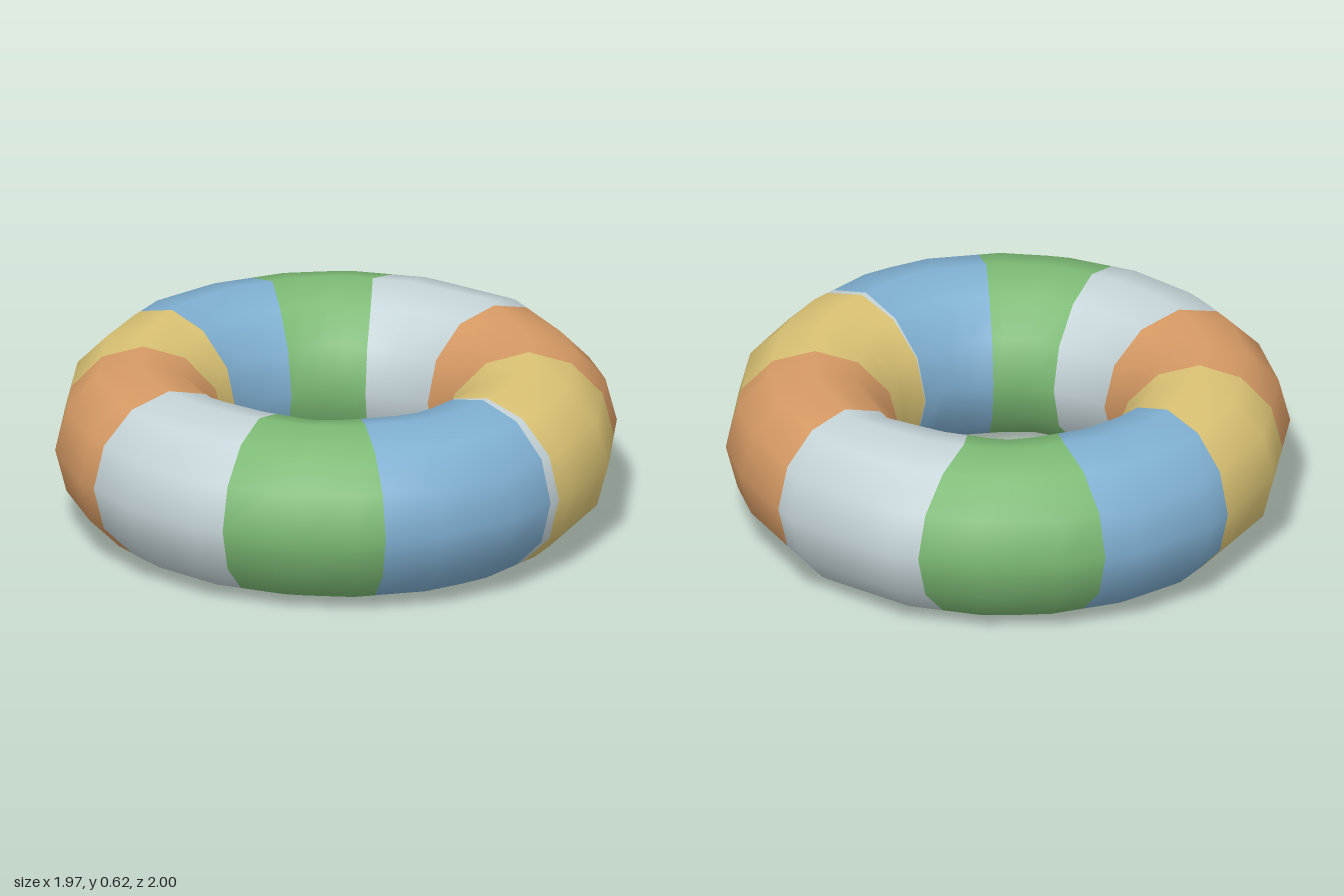
import * as THREE from 'three';

const SIDES = 12, MID_Y = 0.314, HALF_HEIGHT = 0.312;

// Plan outlines of the ring, [x, z], running from +x towards +z
const OUTER = [[0.95, 0.28], [0.82, 0.55], [0.62, 0.78], [0.37, 0.93], [0.07, 0.995], [-0.22, 0.96],
  [-0.5, 0.86], [-0.73, 0.67], [-0.9, 0.43], [-0.985, 0.14], [-0.945, -0.3], [-0.74, -0.68],
  [-0.5, -0.87], [-0.22, -0.98], [0.07, -1], [0.37, -0.935], [0.73, -0.68], [0.92, -0.35], [0.98, -0.14]];
const INNER = [[0.35, 0.17], [0.2, 0.33], [-0.05, 0.375], [-0.32, 0.23], [-0.4, 0.07], [-0.38, -0.08],
  [-0.35, -0.22], [-0.22, -0.33], [-0.02, -0.41], [0.19, -0.35], [0.31, -0.31], [0.385, -0.08]];

const angleOf = ([x, z]) => (THREE.MathUtils.radToDeg(Math.atan2(z, x)) + 360) % 360;
const BREAKS = [...OUTER, ...INNER].map(angleOf).sort((a, b) => a - b);

// Distance from the centre to a plan outline in direction t (radians)
function radiusAt(outline, t) {
  const dx = Math.cos(t), dz = Math.sin(t);
  for (let i = 0; i < outline.length; i++) {
    const [ax, az] = outline[i], [bx, bz] = outline[(i + 1) % outline.length];
    const sa = dx * az - dz * ax, sb = dx * bz - dz * bx;
    if (sa <= 1e-9 && sb > 1e-9) {
      const k = sa / (sa - sb);
      const r = dx * (ax + (bx - ax) * k) + dz * (az + (bz - az) * k);
      if (r > 0) return r;
    }
  }
  return 0.7;
}

// Seam angle around the tube, from its values at the outside, crown and inside
function seamAngle([outside, crown, inside], v) {
  const c = Math.cos(v);
  return crown + (c > 0 ? outside - crown : inside - crown) * Math.abs(c);
}

// One coloured length of tube between two seams
function segmentGeometry(start, end) {
  const lo = Math.min(...start), hi = Math.max(...end);
  const rings = [lo, ...BREAKS.filter((a) => a > lo && a < hi), hi];
  const positions = [], normals = [], index = [];
  rings.forEach((ring, i) => {
    for (let j = 0; j <= SIDES; j++) {
      const v = (j / SIDES) * Math.PI * 2, c = Math.cos(v), s = Math.sin(v);
      const from = seamAngle(start, v), to = seamAngle(end, v);
      const deg = i === 0 ? from : i === rings.length - 1 ? to : Math.min(Math.max(ring, from), to);
      const t = THREE.MathUtils.degToRad(deg);
      const outer = radiusAt(OUTER, t), inner = radiusAt(INNER, t);
      const half = (outer - inner) / 2, r = (outer + inner) / 2 + half * c;
      positions.push(r * Math.cos(t), MID_Y + HALF_HEIGHT * s, r * Math.sin(t));
      const n = new THREE.Vector3(Math.cos(t) * c / half, s / HALF_HEIGHT, Math.sin(t) * c / half).normalize();
      normals.push(n.x, n.y, n.z);
      if (i > 0 && j < SIDES) {
        const d = i * (SIDES + 1) + j, a = d - SIDES - 1;
        index.push(a, a + 1, d, a + 1, d + 1, d);
      }
    }
  });
  const geometry = new THREE.BufferGeometry();
  geometry.setAttribute('position', new THREE.Float32BufferAttribute(positions, 3));
  geometry.setAttribute('normal', new THREE.Float32BufferAttribute(normals, 3));
  geometry.setIndex(index);
  return geometry;
}

export function createModel() {
  const material = (name, color) => {
    const m = new THREE.MeshStandardMaterial({ color });
    m.name = name;
    return m;
  };
  const yellow = material('yellow', 0xdcc475), blue = material('blue', 0x7fafd1),
    green = material('green', 0x7bb973), white = material('pale grey', 0xc5d4d8),
    orange = material('orange', 0xd79b65);

  // Each segment's colour and the seam where it ends: outside, crown, inside (degrees)
  const segments = [
    [yellow, [37.6, 39, 37.5]],
    [white, [40.2, 40.8, 38]], // thin joint strip
    [blue, [80, 81.5, 80]],
    [green, [114, 114, 115]],
    [white, [149.5, 148.5, 148]],
    [orange, [184, 184.5, 186]],
    [yellow, [216, 214, 211]],
    [blue, [247.5, 251, 246]],
    [green, [286, 280.5, 285]],
    [white, [322.5, 322, 318]],
    [orange, [360, 360, 360]],
  ];

  const ring = new THREE.Group();
  ring.name = 'ring';
  let start = [0, 0, 0];
  segments.forEach(([mat, end], i) => {
    const mesh = new THREE.Mesh(segmentGeometry(start, end), mat);
    mesh.name = i === 1 ? 'jointStrip' : `${mat.name} segment ${i + 1}`;
    ring.add(mesh);
    start = end;
  });
  return ring;
}
